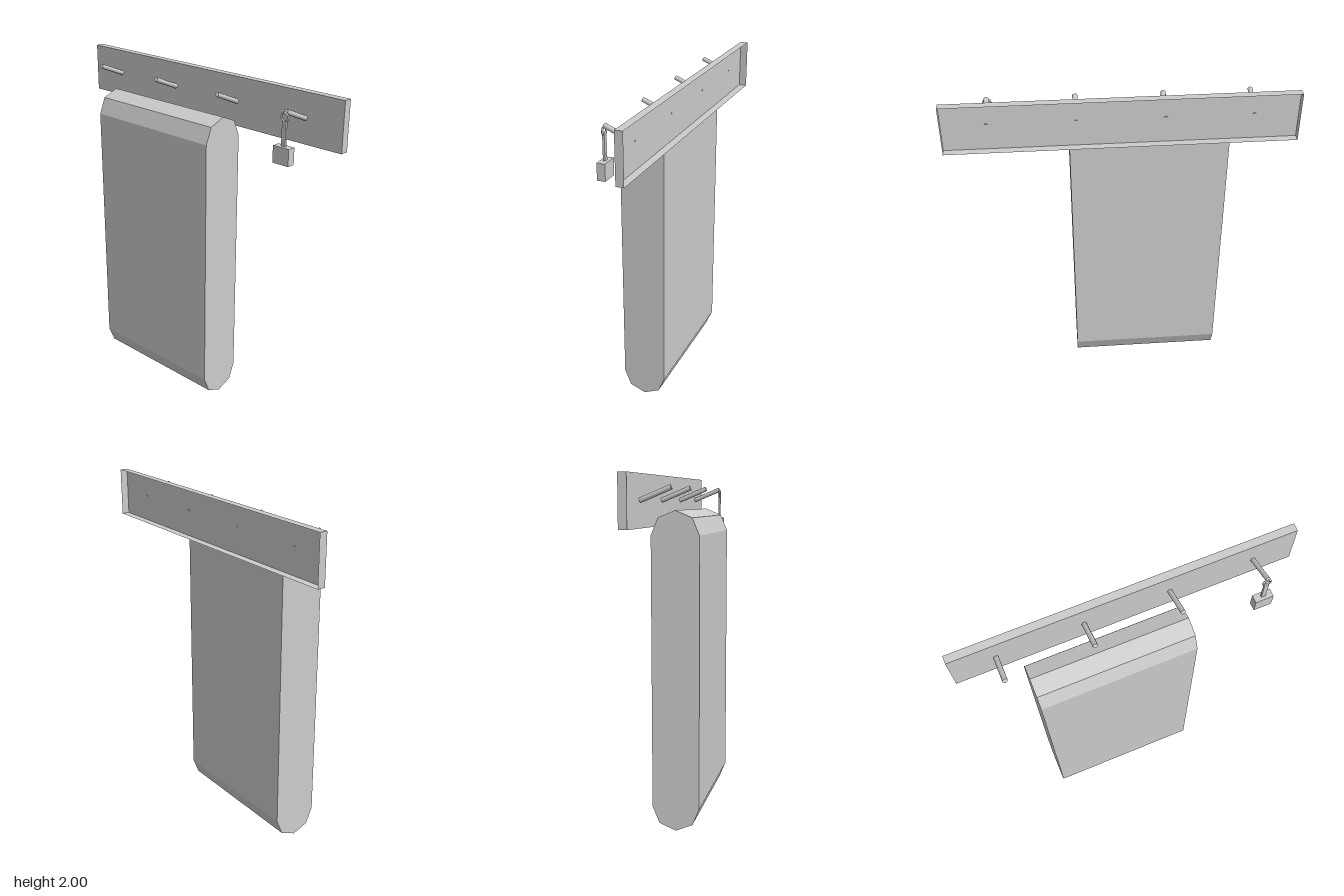
import * as THREE from 'three';

export function createModel() {
  const model = new THREE.Group();
  const grey = new THREE.MeshStandardMaterial({ color: 0xcccccc, side: THREE.DoubleSide });
  grey.name = 'light grey';

  const add = (parent, name, geometry, x = 0, y = 0, z = 0) => {
    const mesh = new THREE.Mesh(geometry, grey);
    mesh.name = name;
    mesh.position.set(x, y, z);
    parent.add(mesh);
    return mesh;
  };

  // Wall board: a shallow tray, open at the back (the last box side is dropped)
  const tray = new THREE.BoxGeometry(1.976, 0.29, 0.047);
  tray.setIndex(Array.from(tray.index.array).slice(0, 30));
  tray.clearGroups();
  add(model, 'wallBoard', tray, 0, 1.855, -0.15);

  // Four pegs rising towards the front
  const pegXs = [-0.741, -0.246, 0.249, 0.741];
  const back = new THREE.Vector3(0, 1.857, -0.124);
  const tip = new THREE.Vector3(0, 1.928, 0.046);
  const dir = tip.clone().sub(back);
  for (const x of pegXs) {
    const peg = add(model, 'peg', new THREE.CylinderGeometry(0.0145, 0.0145, dir.length(), 8));
    peg.position.copy(back).add(tip).multiplyScalar(0.5).setX(x);
    peg.quaternion.setFromUnitVectors(new THREE.Vector3(0, 1, 0), dir.clone().normalize());
  }

  // Hanging towel: a long section with eight-sided round ends, swept along x
  const r = 0.135, low = r, high = 1.805 - r, width = 0.912;
  const section = new THREE.Shape();
  for (let i = 0; i <= 4; i++) {
    const a = i * Math.PI / 4;
    section[i ? 'lineTo' : 'moveTo'](r * Math.cos(a), high + r * Math.sin(a));
  }
  for (let i = 4; i <= 8; i++) {
    const a = i * Math.PI / 4;
    section.lineTo(r * Math.cos(a), low + r * Math.sin(a));
  }
  section.closePath();
  const towel = new THREE.ExtrudeGeometry(section, { depth: width, bevelEnabled: false });
  towel.rotateY(Math.PI / 2);
  add(model, 'towel', towel, -0.62, 0, 0.038);

  // Key tag hanging from the last peg: ring, strap and block
  const tag = new THREE.Group();
  tag.name = 'keyTag';
  tag.position.set(0.738, 0, 0.048);
  add(tag, 'ring', new THREE.TorusGeometry(0.023, 0.006, 6, 8), 0, 1.898, 0);
  add(tag, 'strap', new THREE.BoxGeometry(0.027, 0.145, 0.012), 0, 1.805, 0);
  add(tag, 'tagBlock', new THREE.BoxGeometry(0.107, 0.097, 0.048), 0, 1.689, 0);
  model.add(tag);

  return model;
}
